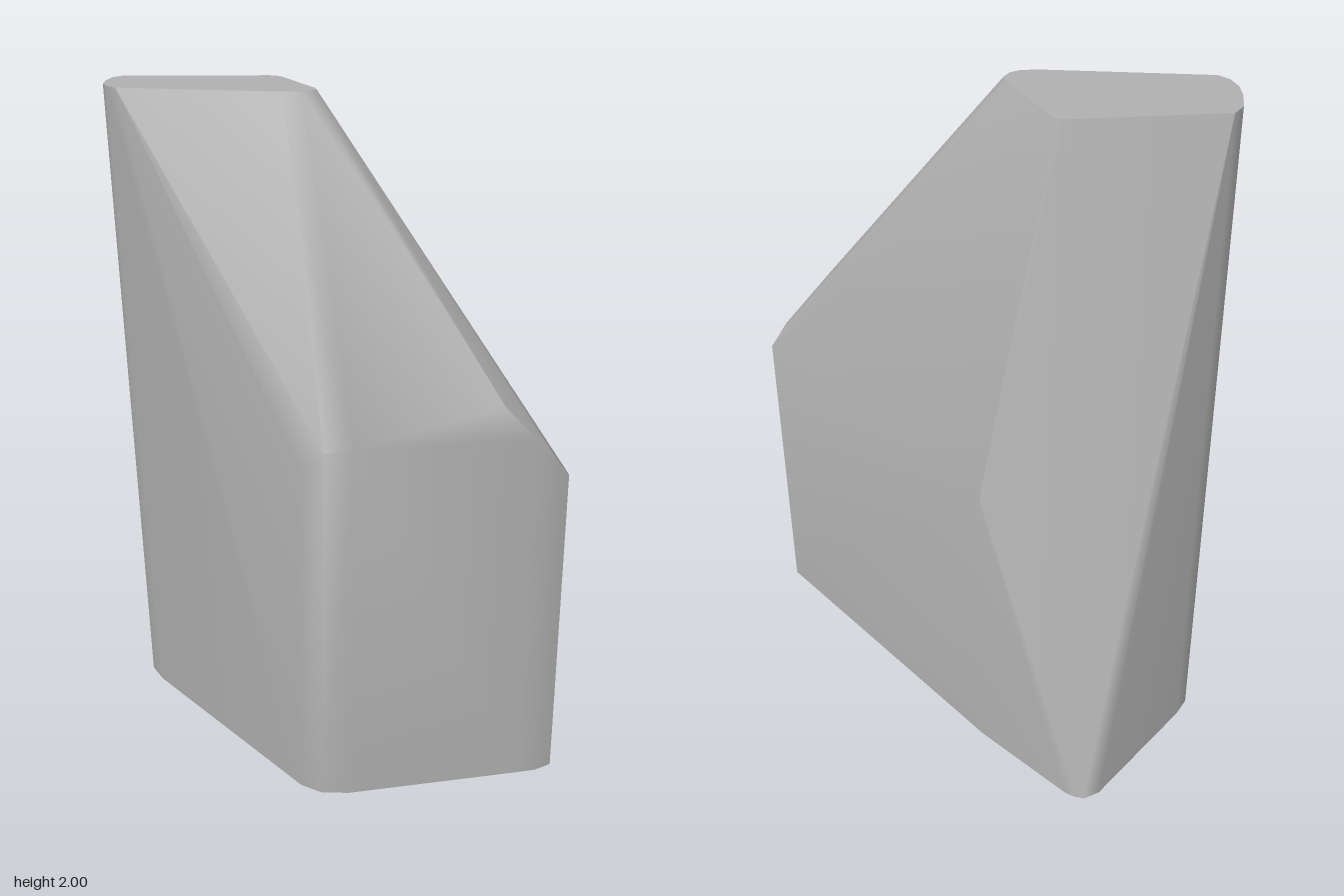
import * as THREE from 'three';
import { ConvexGeometry } from 'three/addons/geometries/ConvexGeometry.js';

// Area-weighted normals, smoothed only across edges softer than the limit
function softenNormals(geometry, limit) {
  const p = geometry.attributes.position;
  const corners = new Map(), faces = [], keys = [];
  for (let i = 0; i < p.count; i += 3) {
    const [a, b, c] = [0, 1, 2].map((k) => new THREE.Vector3().fromBufferAttribute(p, i + k));
    const n = b.clone().sub(a).cross(c.clone().sub(a));
    faces.push({ n, unit: n.clone().normalize() });
    for (const v of [a, b, c]) {
      const key = v.toArray().map((t) => t.toFixed(4)).join();
      keys.push(key);
      if (!corners.has(key)) corners.set(key, []);
      corners.get(key).push(faces[faces.length - 1]);
    }
  }
  const normals = [];
  keys.forEach((key, i) => {
    const own = faces[Math.floor(i / 3)].unit, sum = new THREE.Vector3();
    for (const f of corners.get(key)) if (f.unit.dot(own) > Math.cos(limit)) sum.add(f.n);
    normals.push(...sum.normalize().toArray());
  });
  geometry.setAttribute('normal', new THREE.Float32BufferAttribute(normals, 3));
  return geometry;
}

export function createModel() {
  const stone = new THREE.MeshStandardMaterial({ color: 0xb0b0b0 });
  stone.name = 'grey stone';

  // Upright front and side walls: x, z and the height where each starts to lean in
  const walls = [
    [-0.27, 0.33, 1.03], [-0.245, 0.4, 1.09], [-0.18, 0.45, 1.1], [0.21, 0.635, 1.19],
    [0.29, 0.675, 1.09], [0.345, 0.7, 1.03], [0.403, 0.706, 0.965], [0.403, -0.3, 0.955],
  ];
  // Rounded back corners on the ground
  const back = [
    [0.372, -0.64], [0.362, -0.67], [0.345, -0.695], [0.295, -0.708],
    [-0.11, -0.648], [-0.17, -0.63], [-0.215, -0.59], [-0.25, -0.53], [-0.265, -0.45],
  ];
  // Flat top
  const top = [
    [-0.075, -0.01], [-0.035, 0.02], [-0.005, 0.027], [0.025, 0.017], [0.04, -0.01],
    [0.093, -0.24], [0.092, -0.265], [0.08, -0.28], [-0.265, -0.54], [-0.31, -0.53],
    [-0.36, -0.485], [-0.395, -0.44], [-0.41, -0.395], [-0.405, -0.355],
  ];

  const points = [];
  const add = (x, y, z) => points.push(new THREE.Vector3(x, y, z));
  for (const [x, z, y] of walls) {
    add(x, 0, z);
    add(x, y, z);
  }
  for (const [x, z] of back) add(x, 0, z);
  for (const [x, z] of top) add(x, 2, z);

  const rock = new THREE.Mesh(softenNormals(new ConvexGeometry(points), 0.6), stone);
  rock.name = 'rock';
  const group = new THREE.Group();
  group.name = 'standingStone';
  group.add(rock);
  return group;
}
